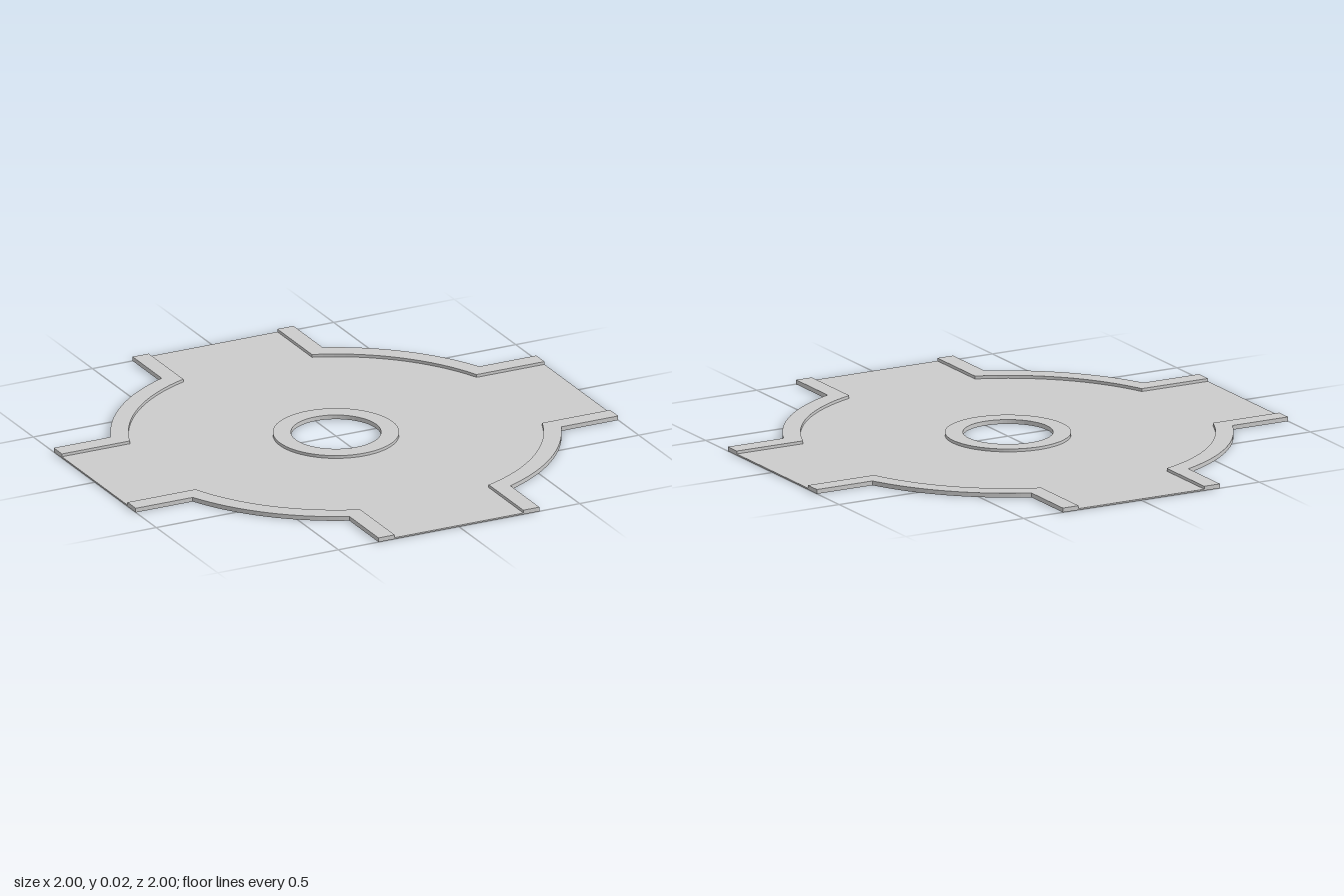
import * as THREE from 'three';

const ARM = 1 / 3;        // half width of an arm
const RIM = 1 / 15;       // rim width
const RADIUS = 5 / 6;     // radius of the round plate
const HOLE = 1 / 6;       // radius of the central hole
const BASE = 0.0055;      // plate thickness
const HEIGHT = 0.0167;    // total height
const ARC_STEPS = 16;

// Edge of one quadrant, from the +x arm tip along the arc to the +y arm tip
function quadrantEdge(arm, radius) {
  const start = Math.asin(arm / radius);
  const end = Math.PI / 2 - start;
  const points = [new THREE.Vector2(1, arm)];
  for (let i = 0; i <= ARC_STEPS; i++) {
    const a = start + (end - start) * i / ARC_STEPS;
    points.push(new THREE.Vector2(radius * Math.cos(a), radius * Math.sin(a)));
  }
  points.push(new THREE.Vector2(arm, 1));
  return points;
}

function circle(radius, shape = new THREE.Shape()) {
  shape.absarc(0, 0, radius, 0, Math.PI * 2, false);
  return shape;
}

// Flat slab lying on the ground plane between two heights
function slab(name, shape, bottom, top, material) {
  const geometry = new THREE.ExtrudeGeometry(shape, {
    depth: top - bottom, bevelEnabled: false, curveSegments: 32,
  });
  geometry.rotateX(-Math.PI / 2);
  geometry.translate(0, bottom, 0);
  const mesh = new THREE.Mesh(geometry, material);
  mesh.name = name;
  return mesh;
}

export function createModel() {
  const group = new THREE.Group();
  group.name = 'crossPlate';
  const material = new THREE.MeshStandardMaterial({ color: 0xcccccc });

  // Round plate with four arms and a central hole
  const outer = quadrantEdge(ARM, RADIUS);
  const outline = [];
  for (let i = 0; i < 4; i++) {
    for (const p of outer) {
      outline.push(p.clone().rotateAround(new THREE.Vector2(), i * Math.PI / 2));
    }
  }
  const plate = new THREE.Shape(outline);
  plate.holes.push(circle(HOLE, new THREE.Path()));
  group.add(slab('basePlate', plate, 0, BASE, material));

  // Raised rim in each quadrant, open at the arm tips
  const inner = quadrantEdge(ARM - RIM, RADIUS - RIM).reverse();
  const rimShape = new THREE.Shape([...outer, ...inner]);
  for (let i = 0; i < 4; i++) {
    const rim = slab('edgeRim' + (i + 1), rimShape, BASE, HEIGHT, material);
    rim.rotation.y = i * Math.PI / 2;
    group.add(rim);
  }

  // Raised ring around the hole
  const ring = circle(HOLE + RIM);
  ring.holes.push(circle(HOLE, new THREE.Path()));
  group.add(slab('centreRing', ring, BASE, HEIGHT, material));

  return group;
}
